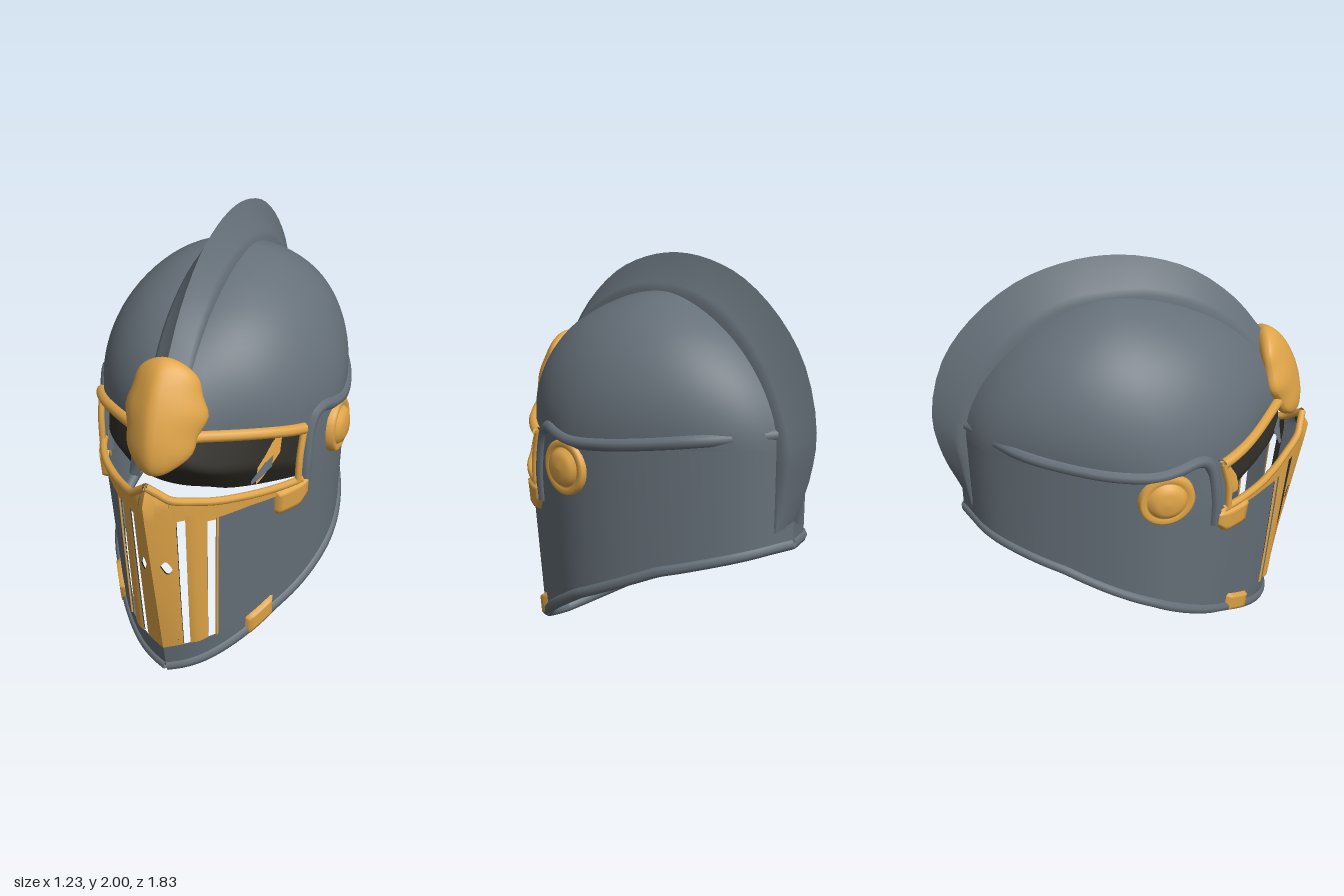
import * as THREE from 'three';

const make = (name, color) => {
  const m = new THREE.MeshStandardMaterial({ color, side: THREE.DoubleSide });
  m.name = name;
  return m;
};

// Piecewise linear lookup through [input, output] pairs
const lookup = (pairs) => (v) => {
  if (v <= pairs[0][0]) return pairs[0][1];
  for (let i = 1; i < pairs.length; i++) {
    const [a, p] = pairs[i - 1], [b, q] = pairs[i];
    if (v <= b) return p + (q - p) * (v - a) / (b - a);
  }
  return pairs[pairs.length - 1][1];
};

// Half of the almond plan, from the front ridge (t = 0) round to the back (t = 1)
const plan = new THREE.CatmullRomCurve3([
  [0, 1], [0.34, 0.79], [0.68, 0.57], [0.86, 0.38], [0.97, 0.17], [1, 0],
  [0.95, -0.22], [0.8, -0.48], [0.6, -0.71], [0.36, -0.89], [0, -1.01],
].map(([x, z]) => new THREE.Vector3(x, 0, z)));

const SPRING = 1.22, TOP = 1.84;
const { clamp } = THREE.MathUtils;

// The plan grows blunter towards the chin
const blunt = (x) => 0.09 * Math.sin(Math.PI * Math.min(1, x / 0.75));

// Point on the helmet wall; side is +1 or -1, off pushes it outward
function wall(t, y, side, off = 0) {
  const k = clamp((y - SPRING) / (TOP - SPRING), 0, 1);
  const u = plan.getPoint(clamp(t, 0, 1));
  u.lerp(new THREE.Vector3(Math.sin(Math.PI * t), 0, Math.cos(Math.PI * t)), Math.min(1, k * 1.4));
  if (u.z > 0) {
    const b = clamp((1 - y) / 0.8, 0, 1);
    u.z += b * blunt(u.x);
    u.x *= 1 - 0.1 * b * (1 - u.x);
  }
  let width = 0.57 - 0.035 * (SPRING - y) / SPRING, front, back = 0.8;
  if (y > SPRING) {
    width = 0.57 * Math.sqrt(1 - k * k);
    front = -0.1 + 0.9 * Math.pow(1 - Math.pow(k, 1.4), 0.55);
    back = 0.1 + 0.7 * Math.pow(1 - Math.pow(k, 1.7), 0.6);
  } else {
    front = y < 1 ? 0.735 + 0.18 * y : 0.915 - 0.115 * (y - 1) / 0.22;
  }
  const c = -0.1 * k;
  const z = c + u.z * (u.z > 0 ? front - c : back + c);
  return new THREE.Vector3(side * u.x * width * (1 + off), y, z * (1 + off));
}

// Edge heights along the wall
const rimHeight = lookup([[-0.8, 0.78], [-0.4, 0.66], [0, 0.48], [0.4, 0.24], [0.76, 0.03]]);
const rim = (t) => {
  const { x, z } = plan.getPoint(t);
  return rimHeight(z > 0 ? (z + blunt(x)) * 0.76 : z * 0.8);
};
const eyeBottom = lookup([[0, 1.08], [0.05, 1.0], [0.12, 0.955], [0.3, 0.93]]);
const brow = lookup([[0.07, 1.25], [0.3, 1.18], [0.32, 1.22]]);
const foot = (t) => 0.155 + t * 0.45;

function surface(rows, cols, point, flip) {
  const pos = [], idx = [];
  for (let j = 0; j <= rows; j++)
    for (let i = 0; i <= cols; i++) pos.push(...point(i / cols, j / rows).toArray());
  for (let j = 0; j < rows; j++)
    for (let i = 0; i < cols; i++) {
      const a = j * (cols + 1) + i, b = a + 1, c = a + cols + 1, d = c + 1;
      idx.push(...(flip ? [a, c, b, b, c, d] : [a, b, c, b, d, c]));
    }
  const g = new THREE.BufferGeometry();
  g.setAttribute('position', new THREE.Float32BufferAttribute(pos, 3));
  g.setIndex(idx);
  g.computeVertexNormals();
  return g;
}

export function createModel() {
  const steel = make('blue grey steel', 0x667079);
  const gold = make('gold', 0xe0a548);
  const dark = make('dark visor', 0x2f2d27);
  const model = new THREE.Group();
  model.name = 'helmet';

  const add = (name, geometry, material) => {
    const mesh = new THREE.Mesh(geometry, material);
    mesh.name = name;
    model.add(mesh);
    return mesh;
  };
  const val = (f, ...a) => (typeof f === 'function' ? f(...a) : f);

  // Sheet following the wall between two angles and two edge heights; cap limits how far forward it goes
  const panel = (name, mat, s, t0, t1, lo, hi, { off = 0, cols = 6, rows = 12, ease = (v) => v, cap } = {}) =>
    add(name, surface(rows, cols, (u, v) => {
      const t = t0 + (t1 - t0) * u, a = val(lo, t), b = val(hi, t);
      const p = wall(t, a + (b - a) * ease(v), s, val(off, u, v));
      return cap ? p.setZ(Math.min(p.z, cap(p))) : p;
    }, s < 0), mat);

  // Rounded moulding through [t, y] points on the wall
  const bead = (name, mat, s, pts, r, off = 0) => {
    const curve = new THREE.CatmullRomCurve3(pts.map(([t, y]) => wall(t, y, s, off)));
    add(name, new THREE.TubeGeometry(curve, pts.length * 5, r, 8), mat);
  };
  const along = (t0, t1, n, f) =>
    Array.from({ length: n + 1 }, (_, i) => t0 + (t1 - t0) * i / n).map((t) => [t, f(t)]);
  const raised = (h) => (u, v) => (u === 0 || u === 1 || v === 0 || v === 1 ? -0.01 : h);
  const bulge = (u) => 0.004 + 0.012 * Math.sin(Math.PI * u);
  const nostril = (sign) => (t) =>
    0.66 - (t - 0.018) * 1.2 + sign * 0.035 * Math.sin(Math.PI * (t - 0.018) / 0.024);

  for (const s of [1, -1]) {
    const side = s > 0 ? 'left' : 'right';

    // Dome and skirt
    panel(side + 'Dome', steel, s, 0, 1, brow, TOP,
      { cols: 48, rows: 24, ease: (v) => Math.sin(v * Math.PI / 2) });
    panel(side + 'Skirt', steel, s, 0.3, 1, rim, brow, { cols: 40 });
    panel(side + 'Cheek', steel, s, 0.125, 0.3, rim, eyeBottom, { cols: 10 });
    panel(side + 'Chin', steel, s, 0, 0.125, rim, foot, { rows: 3 });

    // Face guard with breathing slots and a nostril: gold outside, plain inside
    for (const [name, t0, t1, lo, hi, inner, off] of [
      ['NoseRidge', 0, 0.018, foot, eyeBottom, dark, 0.004],
      ['NoseLower', 0.018, 0.042, foot, nostril(-1), dark, 0.004],
      ['NoseUpper', 0.018, 0.042, nostril(1), eyeBottom, steel, 0.004],
      ['NoseEdge', 0.042, 0.053, foot, eyeBottom, dark, 0.004],
      ['InnerSlat', 0.069, 0.107, foot, eyeBottom, steel, bulge],
      ['OuterSlat', 0.121, 0.126, foot, eyeBottom, steel, bulge],
      ['InnerSlotTop', 0.053, 0.069, 0.89, eyeBottom, steel, 0.004],
      ['OuterSlotTop', 0.107, 0.121, 0.86, eyeBottom, steel, 0.004],
    ]) {
      panel(side + name, gold, s, t0, t1, lo, hi, { off });
      panel(side + name + 'Inside', inner, s, t0, t1, lo, hi, { off: -0.006 });
    }

    // Eye opening: dark plate curving across the nose, gold lining and frame
    const low = (t) => Math.min(0.95, eyeBottom(t) - 0.03), high = (t) => brow(t) + 0.02;
    const nose = (z) => (p) => z - 0.8 * Math.max(0, 1.1 - p.y) - 1.5 * p.x * p.x;
    panel(side + 'EyePlate', dark, s, 0, 0.31, low, high, { off: -0.05, cols: 24, cap: nose(0.73) });
    panel(side + 'EyeLining', gold, s, 0, 0.31, low, high, { off: -0.06, cols: 24, cap: nose(0.72) });
    const drop = lookup([[0.05, 0.05], [0.11, 0.09], [0.18, 0.05], [0.3, 0.03]]);
    panel(side + 'LowerFrame', gold, s, 0.053, 0.3, (t) => eyeBottom(t) - drop(t), eyeBottom,
      { off: 0.015, cols: 16, rows: 2 });
    bead(side + 'LowerFrameEdge', gold, s, along(0, 0.31, 14, eyeBottom), 0.018, 0.005);
    bead(side + 'BrowFrame', gold, s, along(0.05, 0.3, 8, brow), 0.026, 0.015);
    bead(side + 'EyeCorner', gold, s, [[0.297, 0.93], [0.297, 1.05], [0.3, 1.18]], 0.016, 0.015);
    panel(side + 'CornerTab', gold, s, 0.23, 0.335, lookup([[0.3, 0.79], [0.335, 0.87]]), 0.93,
      { off: raised(0.045), cols: 10, rows: 8 });
    panel(side + 'TabRivet', gold, s, 0.32, 0.35, lookup([[0.32, 0.84], [0.35, 0.78]]),
      lookup([[0.32, 0.93], [0.35, 0.84]]), { off: -0.012, rows: 3 });

    // Steel mouldings
    bead(side + 'TempleMoulding', steel, s, [[0.325, 0.86], [0.33, 1.0], [0.33, 1.16], [0.345, 1.22],
      [0.375, 1.235], [0.42, 1.22], [0.5, 1.205], [0.6, 1.215], [0.7, 1.24], [0.8, 1.265], [0.97, 1.28]],
    0.03, -0.015);
    bead(side + 'RimMoulding', steel, s, along(0, 1, 24, rim), 0.027, -0.015);
    panel(side + 'RimClip', gold, s, 0.172, 0.235, (t) => rim(t) - 0.03, (t) => rim(t) + 0.085,
      { off: raised(0.04), rows: 8, cols: 8 });

    // Ear boss
    const boss = new THREE.LatheGeometry([[0.13, 0], [0.127, 0.03], [0.115, 0.038], [0.095, 0.034],
      [0.088, 0.03], [0.078, 0.05], [0.05, 0.062], [0, 0.066]].map(([r, h]) => new THREE.Vector2(r, h)), 32);
    boss.rotateZ(-s * Math.PI / 2);
    add(side + 'EarBoss', boss, gold).position.set(s * 0.55, 1.08, 0.04);
  }

  // Bright slivers lying on the eye plates
  const sliver = { off: -0.04, cols: 4, rows: 4 };
  panel('leftGoldSliver', gold, 1, 0.19, 0.245, lookup([[0.19, 0.97], [0.245, 1.09]]),
    lookup([[0.19, 1.05], [0.225, 1.17], [0.245, 1.17]]), sliver);
  panel('leftSteelSliver', steel, 1, 0.18, 0.225, lookup([[0.18, 0.98], [0.225, 1.04]]),
    lookup([[0.18, 1.0], [0.2, 1.06], [0.225, 1.09]]), { ...sliver, off: -0.034 });
  panel('rightGoldSliver', gold, -1, 0.25, 0.288, 0.97,
    lookup([[0.25, 1.06], [0.27, 1.15], [0.288, 1.16]]), sliver);
  panel('rightSteelSliver', steel, -1, 0.056, 0.09, 1.02, lookup([[0.056, 1.14], [0.09, 1.1]]),
    { ...sliver, cap: () => 0.72 });

  // Crest: a bladed section swept over the dome, [outer z, outer y, inner z, inner y]
  const stations = [
    [0.64, 1.55, 0.63, 1.44], [0.5, 1.73, 0.49, 1.62], [0.3, 1.89, 0.3, 1.75], [0.1, 1.97, 0.1, 1.82],
    [-0.1, 2.0, -0.1, 1.83], [-0.3, 1.98, -0.28, 1.81], [-0.5, 1.91, -0.45, 1.73],
    [-0.7, 1.76, -0.6, 1.6], [-0.84, 1.57, -0.72, 1.42], [-0.91, 1.3, -0.8, 1.2],
    [-0.88, 1.08, -0.79, 1.05], [-0.8, 0.87, -0.78, 0.85],
  ];
  const edge = (i) => new THREE.CatmullRomCurve3(stations.map((q) => new THREE.Vector3(0, q[i + 1], q[i])));
  const outer = edge(0), inner = edge(2);
  const section = [[0.09, -0.35], [0.088, 0.03], [0.07, 0.2], [0.03, 0.6], [0, 1]];
  for (const s of [1, -1])
    add(s > 0 ? 'leftCrest' : 'rightCrest', surface(section.length - 1, 33, (u, v) => {
      const [w, k] = section[Math.round(v * (section.length - 1))];
      return inner.getPoint(u).lerp(outer.getPoint(u), k).setX(s * w);
    }, s < 0), steel);

  // Brow ornament: an egg with a soft ridge, bent round the forehead
  const egg = new THREE.SphereGeometry(1, 40, 28);
  const p = egg.attributes.position;
  for (let i = 0; i < p.count; i++) {
    const y = p.getY(i), z = p.getZ(i);
    const x = p.getX(i) * 0.178 * (1 + 0.1 * y) * (1 + 0.05 * Math.cos(y * 9 - 1));
    const ridge = 0.02 * Math.max(0, 1 - Math.abs(x) / 0.08) * Math.max(0, z);
    p.setXYZ(i, x, y * 0.25, z * (z > 0 ? 0.075 : 0.1) + ridge - 2 * x * x);
  }
  egg.computeVertexNormals();
  const ornament = add('browOrnament', egg, gold);
  ornament.position.set(0, 1.335, 0.73);
  ornament.rotation.x = -0.36;

  return model;
}
